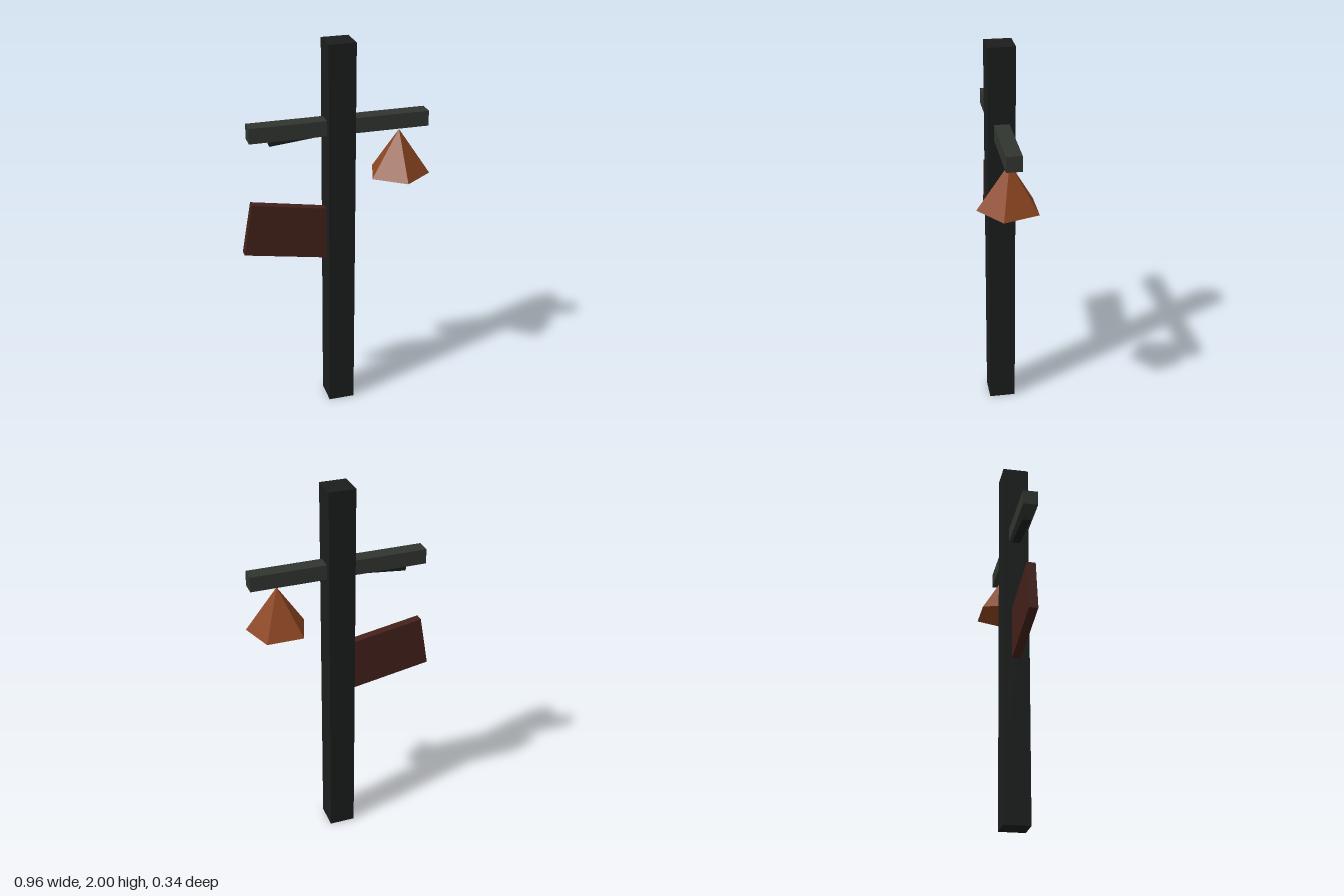
import * as THREE from 'three';

const paint = (color) => new THREE.MeshStandardMaterial({ color, flatShading: true });

export function createModel() {
  const model = new THREE.Group();
  model.name = 'signpost';

  // Everything sits square to the post, which is turned slightly
  const post = new THREE.Group();
  post.name = 'turnedPost';
  post.position.set(0.012, 0, 0.037);
  post.rotation.y = 0.206;
  model.add(post);

  const add = (name, geometry, material, x, y, tilt = 0) => {
    const mesh = new THREE.Mesh(geometry, material);
    mesh.name = name;
    mesh.position.set(x, y, 0);
    mesh.rotation.z = tilt;
    post.add(mesh);
    return mesh;
  };

  const darkWood = paint(0x1b1e1d);
  const greyWood = paint(0x30352f);
  const redWood = paint(0x43201a);
  const rust = paint(0x8b4520);

  // Upright and crossbeam
  add('upright', new THREE.BoxGeometry(0.137, 2, 0.137), darkWood, 0, 1);
  add('crossbeam', new THREE.BoxGeometry(0.912, 0.078, 0.077), greyWood, 0, 1.575);

  // Thin brace sloping up into the beam
  add('brace', new THREE.BoxGeometry(0.31, 0.022, 0.045), darkWood, -0.2, 1.533, 0.1);

  // Tilted sign board, its inner end buried in the upright
  add('signBoard', new THREE.BoxGeometry(0.455, 0.274, 0.045), redWood, -0.25, 1.032, -0.173);

  // Five-sided hanging lamp shade
  add('lampShade', new THREE.ConeGeometry(0.16, 0.235, 5), rust, 0.315, 1.402);

  return model;
}
